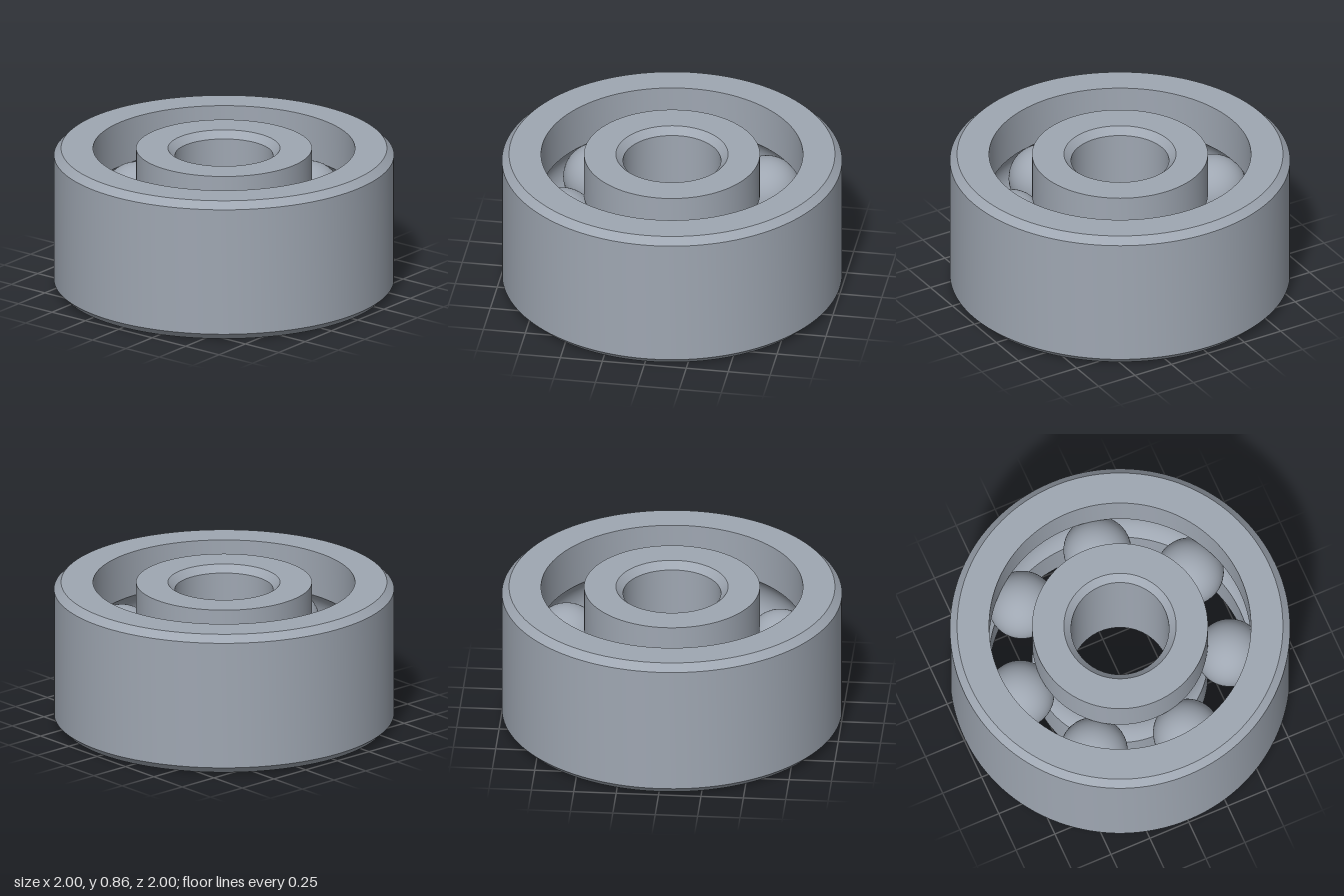
import * as THREE from 'three';
import { toCreasedNormals } from 'three/addons/utils/BufferGeometryUtils.js';

const H = 0.857, MID = H / 2;          // ring height and ball plane
const PITCH = 0.645, BALL = 0.2;       // ball circle and ball radius
const C = 0.042;                       // chamfer

// Points of the ball groove where it cuts a wall of radius r (dir: +1 outer race, -1 inner race)
function groove(r, dir) {
  const a = Math.acos(Math.abs(r - PITCH) / BALL);
  const pts = [];
  for (let i = 0; i <= 16; i++) {
    const t = a - (2 * a * i) / 16;
    pts.push([PITCH + dir * BALL * Math.cos(t), MID + dir * BALL * Math.sin(t)]);
  }
  return pts;
}

// Revolve a closed counter-clockwise profile, keeping its corners sharp
function ring(name, profile, material) {
  const pts = [...profile, profile[0]].map(([r, y]) => new THREE.Vector2(r, y));
  const mesh = new THREE.Mesh(toCreasedNormals(new THREE.LatheGeometry(pts, 128), 0.5), material);
  mesh.name = name;
  return mesh;
}

export function createModel() {
  const group = new THREE.Group();
  group.name = 'ballBearing';
  const steel = new THREE.MeshStandardMaterial({ color: 0x9fa7b2 });
  steel.name = 'steel';

  // Outer ring: chamfered outside, grooved inside
  const ro = 0.77;
  group.add(ring('outerRing', [
    [1 - C, 0], [1, C], [1, H - C], [1 - C, H], [ro, H],
    ...groove(ro, 1), [ro, 0],
  ], steel));

  // Inner ring: grooved outside, chamfered bore
  const ri = 0.517, bore = 0.288;
  group.add(ring('innerRing', [
    [ri, 0], ...groove(ri, -1), [ri, H],
    [bore + C, H], [bore, H - C], [bore, C], [bore + C, 0],
  ], steel));

  // Seven balls spaced evenly round the groove
  const ballGeometry = new THREE.SphereGeometry(BALL, 40, 28);
  for (let i = 0; i < 7; i++) {
    const a = Math.PI / 2 + 0.016 + (i * Math.PI * 2) / 7;
    const ball = new THREE.Mesh(ballGeometry, steel);
    ball.name = 'ball' + (i + 1);
    ball.position.set(PITCH * Math.cos(a), MID, -PITCH * Math.sin(a));
    group.add(ball);
  }
  return group;
}
